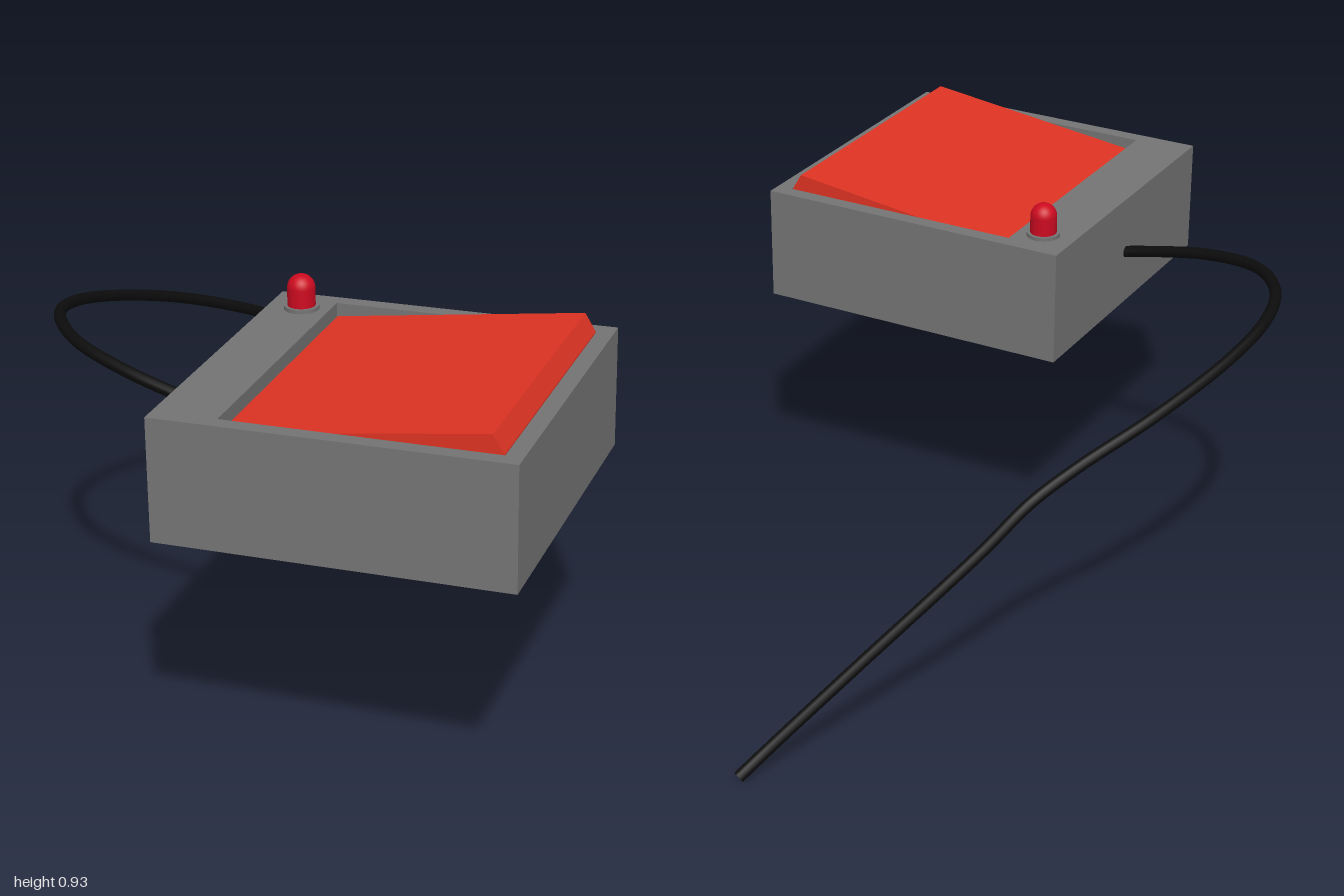
import * as THREE from 'three';

const mat = (color) => new THREE.MeshStandardMaterial({ color });

function part(name, geometry, material, parent, x = 0, y = 0, z = 0) {
  const mesh = new THREE.Mesh(geometry, material);
  mesh.name = name;
  mesh.position.set(x, y, z);
  parent.add(mesh);
  return mesh;
}

export function createModel() {
  const model = new THREE.Group();
  model.name = 'footSwitch';
  const grey = mat(0x747474), red = mat(0xdd3322), lampRed = mat(0xcc0a20), black = mat(0x0c0c0c);

  // Slightly tilted housing and everything mounted on it
  const pedal = new THREE.Group();
  pedal.name = 'pedal';
  pedal.position.set(0.217, 0.72, 0.556);
  pedal.rotation.set(-0.008, -0.115, 0.017, 'YXZ');
  model.add(pedal);

  const size = 0.79, half = size / 2, top = 0.14, wellDepth = 0.12;
  const left = -0.25, right = 0.356, side = 0.358;

  // Housing: solid base, and an upper frame with a rectangular well
  const baseHeight = 2 * top - wellDepth;
  part('housingBase', new THREE.BoxGeometry(size, baseHeight, size), grey, pedal, 0, -top + baseHeight / 2, 0);
  const frame = new THREE.Shape([[-half, -half], [half, -half], [half, half], [-half, half]]
    .map(([x, y]) => new THREE.Vector2(x, y)));
  frame.holes.push(new THREE.Path([[left, -side], [left, side], [right, side], [right, -side]]
    .map(([x, y]) => new THREE.Vector2(x, y))));
  const frameGeometry = new THREE.ExtrudeGeometry(frame, { depth: wellDepth, bevelEnabled: false });
  frameGeometry.rotateX(-Math.PI / 2);
  part('housingFrame', frameGeometry, grey, pedal, 0, top - wellDepth, 0);

  // Rocker plate: wedge profile extruded across the well
  const profile = new THREE.Shape([[left + 0.002, -0.11], [right - 0.002, -0.11], [right - 0.002, 0],
    [0.33, 0.041], [left + 0.002, -0.031]].map(([x, y]) => new THREE.Vector2(x, y)));
  const width = 2 * side - 0.004;
  const rocker = new THREE.ExtrudeGeometry(profile, { depth: width, bevelEnabled: false });
  part('rocker', rocker, red, pedal, 0, top, -width / 2);

  // Indicator lamp: collar and domed bulb
  const lamp = new THREE.Group();
  lamp.name = 'lamp';
  lamp.position.set(-0.314, top, -0.302);
  pedal.add(lamp);
  part('lampCollar', new THREE.CylinderGeometry(0.04, 0.04, 0.01, 32), grey, lamp, 0, 0.004, 0);
  part('lampBody', new THREE.CylinderGeometry(0.032, 0.032, 0.05, 32, 1, true), lampRed, lamp, 0, 0.025, 0);
  part('lampDome', new THREE.SphereGeometry(0.032, 32, 12, 0, Math.PI * 2, 0, Math.PI / 2), lampRed, lamp, 0, 0.05, 0);

  // Cable: leaves the left side, loops back and falls to the ground
  const path = new THREE.CatmullRomCurve3([
    [-0.14, 0.702, 0.514], [-0.22, 0.72, 0.503], [-0.4, 0.76, 0.455], [-0.55, 0.787, 0.365],
    [-0.635, 0.793, 0.23], [-0.647, 0.775, 0.1], [-0.607, 0.738, -0.05], [-0.5, 0.67, -0.25],
    [-0.375, 0.595, -0.405], [-0.3, 0.538, -0.495], [-0.22, 0.445, -0.58], [0, 0.212, -0.787],
    [0.14, 0.064, -0.93], [0.187, 0.014, -0.99],
  ].map((p) => new THREE.Vector3(...p)));
  const radius = 0.014;
  part('cable', new THREE.TubeGeometry(path, 120, radius, 12), black, model);

  // Flat cap on the free end
  const cap = part('cableEnd', new THREE.CircleGeometry(radius, 12), black, model);
  const end = path.getPointAt(1);
  cap.position.copy(end);
  cap.lookAt(end.clone().add(path.getTangentAt(1)));

  return model;
}
